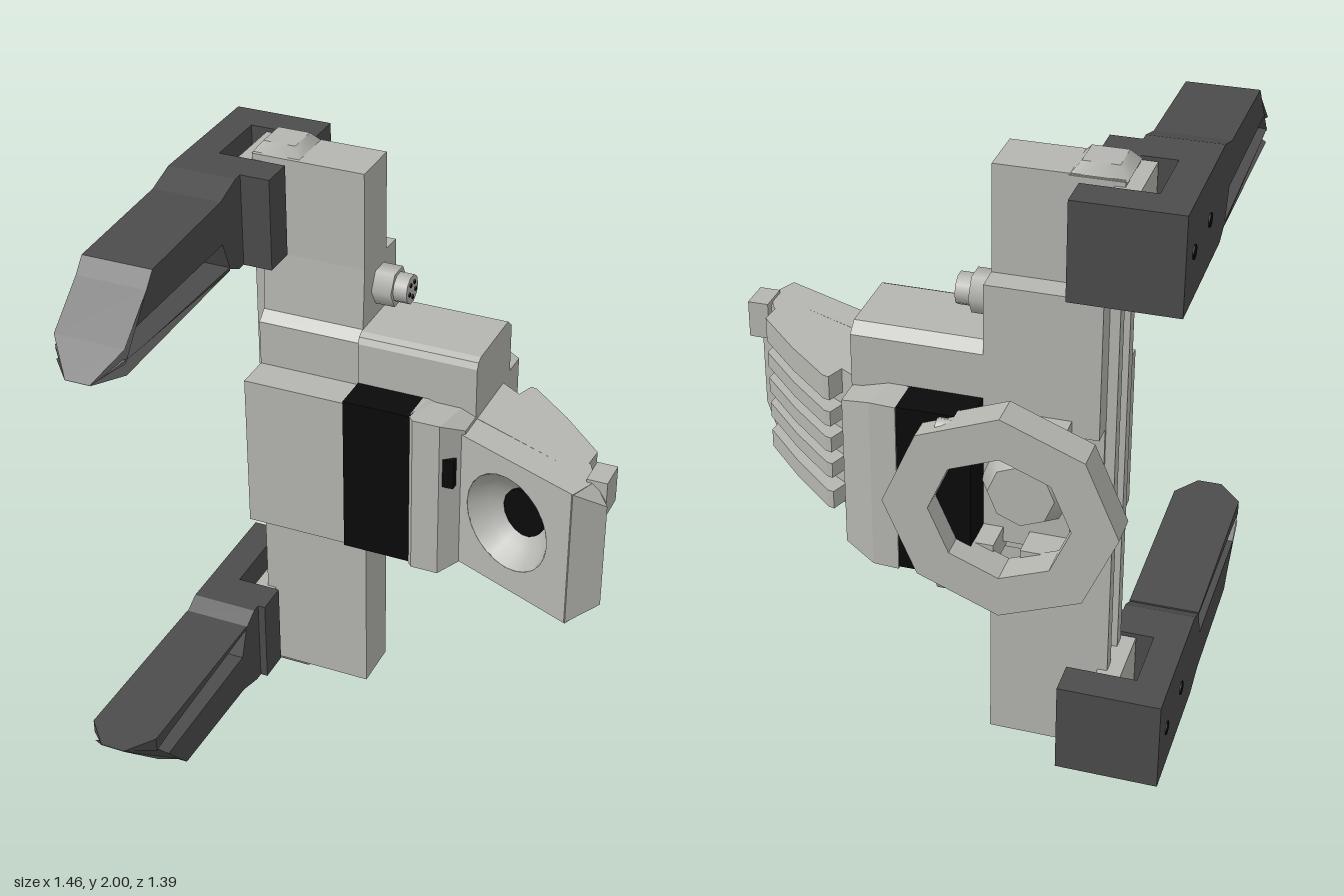
import * as THREE from 'three';

const light = new THREE.MeshStandardMaterial({ color: 0xb5b5b0, side: THREE.DoubleSide });
light.name = 'light grey';
const dark = new THREE.MeshStandardMaterial({ color: 0x4c4c4c });
dark.name = 'dark grey';
const black = new THREE.MeshStandardMaterial({ color: 0x0a0a0a });
black.name = 'black';

const RING = [-0.265, 1.01];

export function createModel() {
  const model = new THREE.Group();
  model.name = 'gripper';

  const add = (name, geometry, material, parent = model) => {
    const m = new THREE.Mesh(geometry, material);
    m.name = name;
    parent.add(m);
    return m;
  };
  // box given by its limits
  const box = (name, x0, x1, y0, y1, z0, z1, material) => {
    const g = new THREE.BoxGeometry(x1 - x0, y1 - y0, z1 - z0);
    g.translate((x0 + x1) / 2, (y0 + y1) / 2, (z0 + z1) / 2);
    return add(name, g, material);
  };
  const shapeOf = (pts) => new THREE.Shape(pts.map(([a, b]) => new THREE.Vector2(a, b)));
  const extrude = (shape, depth) =>
    new THREE.ExtrudeGeometry(shape, { depth, bevelEnabled: false, curveSegments: 12 });
  // outline in x,z raised along y
  const prismY = (pts, y0, y1) =>
    extrude(shapeOf(pts.map(([x, z]) => [x, -z])), y1 - y0).rotateX(-Math.PI / 2).translate(0, y0, 0);
  // outline in z,y swept along x
  const prismX = (pts, x0, x1) =>
    extrude(shapeOf(pts), x1 - x0).rotateY(-Math.PI / 2).translate(x1, 0, 0);
  // move vertices by a rule
  const bend = (g, rule) => {
    const p = g.attributes.position;
    const v = new THREE.Vector3();
    for (let i = 0; i < p.count; i++) {
      rule(v.fromBufferAttribute(p, i));
      p.setXYZ(i, v.x, v.y, v.z);
    }
    g.computeVertexNormals();
    return g;
  };

  // linear beam with side rail and end caps
  box('beam', -0.48, -0.16, 0.04, 1.97, -0.43, -0.26, light);
  for (const [z0, z1] of [[-0.43, -0.385], [-0.305, -0.26]]) box('railEdge', -0.53, -0.48, 0.04, 1.97, z0, z1, light);
  box('railCore', -0.515, -0.48, 0.04, 1.97, -0.37, -0.32, light);
  for (const s of [-1, 1]) {
    const cap = new THREE.CylinderGeometry(0.075, 0.115, 0.035, 4).rotateY(Math.PI / 4);
    if (s < 0) cap.rotateX(Math.PI);
    add('endCap', cap, light).position.set(-0.455, s > 0 ? 1.9825 : 0.0175, -0.35);
  }

  // jaws and fingers, upper and mirrored lower
  const fingerPts = [[-0.14, 1.96], [-0.1, 1.96], [0, 1.93], [0.42, 1.915], [0.46, 1.87], [0.6, 1.755],
    [0.69, 1.675], [0.6, 1.71], [0.53, 1.79], [0, 1.79], [-0.04, 1.69], [-0.1, 1.66], [-0.14, 1.66]];
  const padPts = [[0.69, 1.672], [0.6, 1.72], [0.5, 1.712], [-0.04, 1.695], [-0.04, 1.685], [0.6, 1.672]];
  const pointTip = (v) => { if (v.z > 0.65) v.x = -0.61 + (v.x + 0.6175) * 0.36; };
  for (const upper of [true, false]) {
    const tag = upper ? 'upper' : 'lower';
    const fy = (y) => (upper ? y : 2.01 - y);
    const flip = (pts) => pts.map(([z, y]) => [z, fy(y)]);
    const lo = Math.min(fy(1.66), fy(1.96));
    const hi = lo + 0.3;
    const reach = upper ? -0.41 : -0.48;
    add(tag + 'Jaw', prismY([[-0.73, -0.57], [-0.41, -0.57], [-0.41, -0.46], [-0.63, -0.46], [-0.63, -0.24],
      [reach, -0.24], [reach, -0.13], [-0.73, -0.13]], lo, hi), dark);
    add(tag + 'Finger', bend(prismX(flip(fingerPts), -0.73, -0.505), pointTip), dark);
    add(tag + 'FingerPad', bend(prismX(flip(padPts), -0.73, -0.505), pointTip), dark);
    box(tag + 'Slider', -0.575, -0.5, lo + 0.01, hi - 0.01, -0.455, -0.245, light);
    // small teeth beside the beam
    for (let i = 0; i < 6; i++) {
      const y = lo + 0.03 + i * 0.045;
      const z = upper ? -0.25 : -0.45;
      box(tag + 'Tooth', -0.5, -0.42, y, y + 0.022, z - 0.015, z + 0.015, dark);
    }
    for (const z of [-0.47, -0.27]) {
      const bolt = new THREE.CylinderGeometry(0.022, 0.022, 0.012, 8).rotateZ(Math.PI / 2);
      add(tag + 'Bolt', bolt, black).position.set(-0.728, lo + 0.15, z);
    }
  }

  // upper mount, motor block and cable socket
  add('upperMount', prismX([[-0.26, 1.65], [-0.245, 1.45], [-0.21, 1.42], [-0.21, 1.2], [-0.505, 1.2], [-0.505, 1.64]],
    -0.5, -0.16), light);
  add('motorBlock', prismX([[-0.205, 1.2], [-0.205, 1.42], [-0.215, 1.44], [-0.235, 1.45], [-0.47, 1.45], [-0.505, 1.42],
    [-0.505, 1.2]], -0.16, 0.235), light);
  const socket = new THREE.Group();
  socket.name = 'cableSocket';
  socket.position.set(-0.13, 1.55, -0.375);
  socket.rotation.z = -Math.PI / 2;
  model.add(socket);
  add('socketNut', new THREE.CylinderGeometry(0.065, 0.065, 0.07, 6), light, socket);
  add('socketBarrel', new THREE.CylinderGeometry(0.048, 0.048, 0.06, 10), light, socket).position.y = 0.05;
  for (let i = 0; i < 5; i++) {
    const a = (i / 5) * Math.PI * 2;
    add('socketPin', new THREE.CylinderGeometry(0.007, 0.007, 0.006, 6), black, socket)
      .position.set(Math.cos(a) * 0.025, 0.081, Math.sin(a) * 0.025);
  }

  // main body, black band and bevelled collar
  box('body', -0.5, -0.16, 0.74, 1.27, -0.44, -0.09, light);
  box('band', -0.16, 0.065, 0.735, 1.28, -0.625, -0.085, black);
  add('collar', bend(prismY([[0.06, -0.09], [0.08, -0.068], [0.17, -0.068], [0.235, -0.12], [0.235, -0.59],
    [0.14, -0.625], [0.06, -0.63]], 0.73, 1.28), (v) => {
    if (v.x > 0.2) v.y = 1.01 + (v.y - 1.005) * 0.88;
  }), light);
  box('collarSlot', 0.17, 0.215, 1.06, 1.16, -0.1, -0.075, black).rotation.y = 0;

  // rear neck, posts and octagonal flange
  box('neck', -0.42, -0.16, 0.8, 1.24, -0.5, -0.43, light);
  for (const x of [-0.42, -0.22]) {
    for (const y of [0.77, 1.17]) box('post', x, x + 0.12, y, y + 0.08, -0.6, -0.44, light);
  }
  const octagon = (r) => Array.from({ length: 8 }, (_, i) => {
    const a = (i / 8) * Math.PI * 2;
    return [RING[0] + Math.cos(a) * r, RING[1] + Math.sin(a) * r * 0.95];
  });
  const ring = shapeOf(octagon(0.347));
  ring.holes.push(new THREE.Path(octagon(0.21).map(([x, y]) => new THREE.Vector2(x, y))));
  add('flange', extrude(ring, 0.105).translate(0, 0, -0.697), light);
  add('flangeHub', new THREE.CylinderGeometry(0.1, 0.14, 0.07, 8).rotateX(-Math.PI / 2), light)
    .position.set(-0.29, RING[1], -0.53);
  for (const y of [0.74, 1.25]) {
    add('flangeKnob', new THREE.CylinderGeometry(0.03, 0.03, 0.06, 8).rotateZ(Math.PI / 2), light)
      .position.set(-0.1, y, -0.645);
  }

  // angled head: core, end wedge and cooling ribs
  const narrowEnd = (v) => { if (v.x > 0.71) v.y = 1.005 + (v.y - 1.005) * 0.76; };
  add('headCore', bend(prismY([[0.23, -0.22], [0.678, -0.032], [0.73, 0], [0.64, -0.11], [0.44, -0.32], [0.23, -0.45]],
    0.765, 1.24), narrowEnd), light);
  add('headEnd', bend(prismY([[0.637, 0.06], [0.73, 0], [0.678, -0.032]], 0.765, 1.24), narrowEnd), light);
  for (const [y, h] of [[0.78, 0.06], [0.89, 0.05], [0.98, 0.05], [1.07, 0.05], [1.16, 0.08]]) {
    add('headRib', prismY([[0.3, -0.39], [0.325, -0.46], [0.345, -0.455], [0.49, -0.33], [0.635, -0.185],
      [0.63, -0.1], [0.44, -0.3]], y, y + h), light);
  }
  box('headTab', 0.655, 0.72, 1.13, 1.25, -0.12, -0.02, light);

  // tilted face with a bowl and lens
  const face = new THREE.Group();
  face.name = 'headFace';
  face.position.set(0.23, 0, -0.11);
  face.rotation.y = -Math.PI / 8;
  model.add(face);
  const plate = shapeOf([[-0.04, 0.765], [0.444, 0.765], [0.444, 1.24], [-0.04, 1.24]]);
  plate.holes.push(new THREE.Path().absarc(0.19, 1.01, 0.165, 0, Math.PI * 2, true));
  add('facePlate', extrude(plate, 0.1).translate(0, 0, -0.1), light, face);
  const bowl = new THREE.LatheGeometry([[0.166, 0], [0.125, -0.06], [0.07, -0.098]].map(([r, y]) =>
    new THREE.Vector2(r, y)), 16).rotateX(Math.PI / 2);
  add('bowl', bowl, light, face).position.set(0.19, 1.01, 0);
  add('lens', new THREE.CylinderGeometry(0.08, 0.08, 0.02, 16).rotateX(Math.PI / 2), black, face)
    .position.set(0.19, 1.01, -0.085);

  return model;
}
